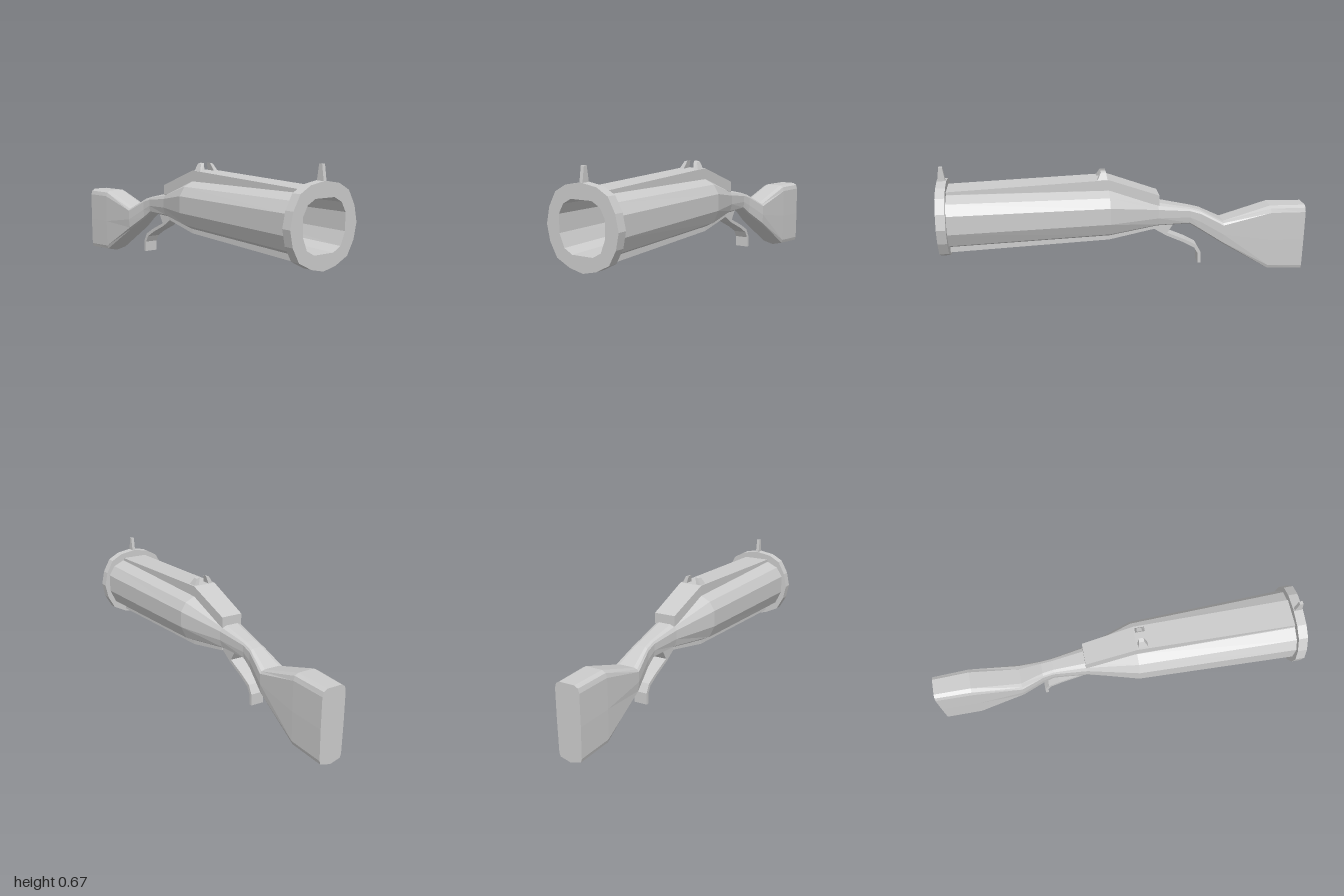
import * as THREE from 'three';

const material = new THREE.MeshStandardMaterial({ color: 0xcccccc, flatShading: true });

function add(group, name, geometry) {
  const mesh = new THREE.Mesh(geometry, material);
  mesh.name = name;
  group.add(mesh);
  return mesh;
}

// Skin over rings ordered from front (+z) to back, with optional end caps
function loft(rings, capFront, capBack) {
  const n = rings[0].length, index = [];
  for (let i = 0; i < rings.length - 1; i++) {
    for (let j = 0; j < n; j++) {
      const a = i * n + j, b = i * n + (j + 1) % n;
      index.push(a, b, b + n, a, b + n, a + n);
    }
  }
  const last = (rings.length - 1) * n;
  for (let k = 1; k < n - 1; k++) {
    if (capFront) index.push(0, k + 1, k);
    if (capBack) index.push(last, last + k, last + k + 1);
  }
  const geometry = new THREE.BufferGeometry();
  geometry.setAttribute('position', new THREE.Float32BufferAttribute(rings.flat(2), 3));
  geometry.setIndex(index);
  const flat = geometry.toNonIndexed();
  flat.computeVertexNormals();
  return flat;
}

// Half outlines as fractions of half width and height, top to bottom
const ROUND = [[0.45, 1], [0.8, 0.9], [1, 0.71], [1, 0.36], [0.8, 0.1], [0.45, 0], [0, 0]];
const BUTT = [[0.62, 1], [0.9, 0.97], [1, 0.91], [1, 0.5], [0.95, 0.09], [0.86, 0.04], [0, 0]];

// Mirrored ring; box blends from the barrel outline to the butt outline
function ring(z, w, top, bottom, box = 0) {
  const half = ROUND.map(([x, y], i) => {
    const fx = THREE.MathUtils.lerp(x, BUTT[i][0], box);
    const fy = THREE.MathUtils.lerp(y, BUTT[i][1], box);
    return [fx * w, bottom + fy * (top - bottom), z];
  });
  const mirrored = half.slice(0, 6).reverse().map(([x, y, zz]) => [-x, y, zz]);
  return [...half, ...mirrored];
}

function rectRing([z, w, top, bottom]) {
  return [[w, top, z], [w, bottom, z], [-w, bottom, z], [-w, top, z]];
}

const polygon = (points) => points.map(([x, y]) => new THREE.Vector2(x, y));

export function createModel() {
  const group = new THREE.Group();

  // Barrel flowing into the grip and the shoulder stock
  add(group, 'barrelAndStock', loft([
    ring(0.95, 0.178, 0.543, 0.255),
    ring(0.1, 0.15, 0.53, 0.275),
    ring(-0.17, 0.07, 0.44, 0.308, 0.3),
    ring(-0.35, 0.046, 0.402, 0.308, 0.6),
    ring(-0.41, 0.048, 0.385, 0.268, 0.7),
    ring(-0.535, 0.072, 0.32, 0.188, 0.8),
    ring(-0.8, 0.074, 0.4, 0.016, 1),
    ring(-1, 0.068, 0.395, 0.002, 1),
  ], false, true));

  // Hollow bore, facing inward
  add(group, 'bore', loft([
    ring(1, 0.134, 0.523, 0.27),
    ring(0.1, 0.122, 0.508, 0.293),
    ring(-0.17, 0.06, 0.425, 0.32),
  ].map((r) => r.reverse()), false, true));

  // Muzzle flange with the bore opening cut out
  const rim = [[0, 0.6], [0.09, 0.585], [0.153, 0.55], [0.193, 0.477], [0.21, 0.397],
    [0.193, 0.317], [0.153, 0.245], [0.077, 0.207], [0, 0.19]];
  const rimLeft = rim.slice(1, 8).reverse().map(([x, y]) => [-x, y]);
  const flange = new THREE.Shape(polygon([...rim, ...rimLeft]));
  flange.holes.push(new THREE.Path(polygon(ring(1, 0.134, 0.523, 0.27))));
  add(group, 'muzzleFlange',
    new THREE.ExtrudeGeometry(flange, { depth: 0.05, bevelEnabled: false })).position.z = 0.95;

  // Raised strips along the top and the underside
  add(group, 'topRib', loft([
    [0.95, 0.075, 0.558, 0.53], [0.1, 0.066, 0.588, 0.515], [-0.175, 0.06, 0.488, 0.43],
  ].map(rectRing), true, true));
  add(group, 'bottomRib', loft([
    [0.95, 0.075, 0.26, 0.222], [0.1, 0.066, 0.285, 0.25], [-0.15, 0.045, 0.315, 0.292],
  ].map(rectRing), true, true));

  // Front sight, narrowing towards its tip
  const sight = new THREE.BoxGeometry(0.018, 0.09, 0.046);
  const sp = sight.attributes.position;
  for (let i = 0; i < sp.count; i++) if (sp.getY(i) > 0) sp.setZ(i, sp.getZ(i) * 0.4);
  sight.computeVertexNormals();
  add(group, 'frontSight', sight).position.set(0, 0.629, 0.976);

  // Pair of rear sight ears leaning inward
  for (const side of [-1, 1]) {
    const ear = [[0.02, 0.628], [0.04, 0.623], [0.062, 0.575], [0.034, 0.575]];
    const geometry = new THREE.ExtrudeGeometry(
      new THREE.Shape(polygon(ear.map(([x, y]) => [side * x, y]))),
      { depth: 0.06, bevelEnabled: false });
    const p = geometry.attributes.position;
    for (let i = 0; i < p.count; i++) {
      if (p.getY(i) > 0.6) p.setZ(i, 0.008 + p.getZ(i) * 0.45);
    }
    geometry.computeVertexNormals();
    add(group, side > 0 ? 'leftRearSight' : 'rightRearSight', geometry).position.z = 0.105;
  }

  // Curved trigger lever, drawn in z and y
  const lever = new THREE.Shape(polygon([
    [-0.13, 0.31], [-0.15, 0.29], [-0.22, 0.246], [-0.32, 0.2], [-0.38, 0.165], [-0.4, 0.13],
    [-0.402, 0.073], [-0.418, 0.073], [-0.418, 0.135], [-0.393, 0.18], [-0.33, 0.215],
    [-0.225, 0.262], [-0.255, 0.31]]));
  const leverGeometry = new THREE.ExtrudeGeometry(lever, { depth: 0.075, bevelEnabled: false });
  leverGeometry.rotateY(-Math.PI / 2);
  add(group, 'triggerLever', leverGeometry).position.x = 0.0375;

  return group;
}
